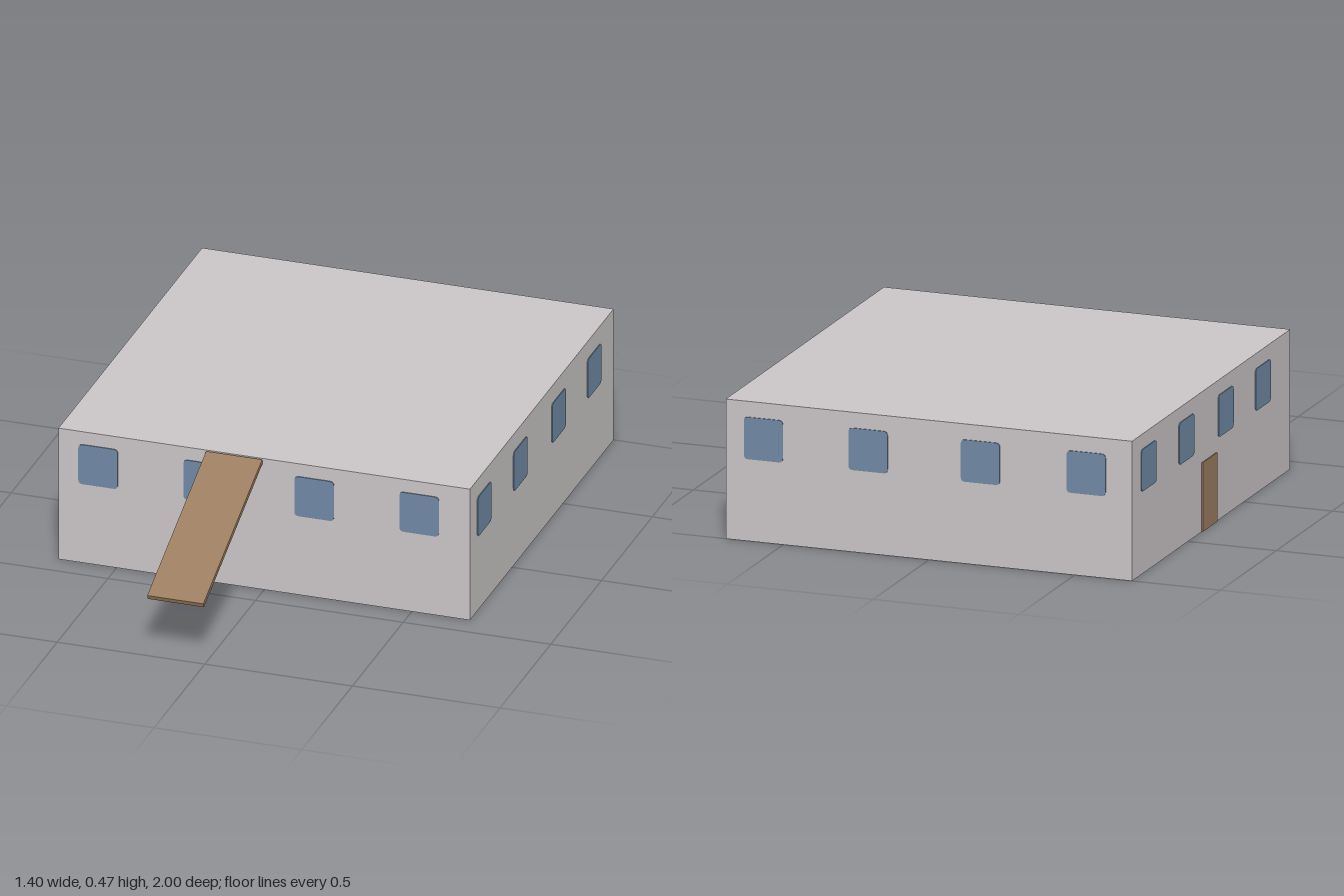
import * as THREE from 'three';

const wall = new THREE.MeshStandardMaterial({ name: 'wall grey', color: 0xcac5c6 });
const glass = new THREE.MeshStandardMaterial({ name: 'window blue', color: 0x7089a5 });
const wood = new THREE.MeshStandardMaterial({ name: 'wood brown', color: 0x9b7d60 });

const HALF_X = 0.697, HEIGHT = 0.465, BACK = -1, FRONT = 0.415;

function add(parent, name, geometry, material, x, y, z) {
  const mesh = new THREE.Mesh(geometry, material);
  mesh.name = name;
  mesh.position.set(x, y, z);
  parent.add(mesh);
  return mesh;
}

// Thin window pane with softly rounded corners, facing +z
function paneGeometry(w, h, r) {
  const a = w / 2, b = h / 2;
  const s = new THREE.Shape();
  s.moveTo(-a + r, -b);
  s.lineTo(a - r, -b).quadraticCurveTo(a, -b, a, -b + r);
  s.lineTo(a, b - r).quadraticCurveTo(a, b, a - r, b);
  s.lineTo(-a + r, b).quadraticCurveTo(-a, b, -a, b - r);
  s.lineTo(-a, -b + r).quadraticCurveTo(-a, -b, -a + r, -b);
  return new THREE.ExtrudeGeometry(s, { depth: 0.003, bevelEnabled: false, curveSegments: 4 });
}

export function createModel() {
  const model = new THREE.Group();
  model.name = 'building';

  // Main block
  const depth = FRONT - BACK;
  add(model, 'walls', new THREE.BoxGeometry(HALF_X * 2, HEIGHT, depth), wall,
    0, HEIGHT / 2, (FRONT + BACK) / 2);

  // Four windows on each side: centres along the wall, height, and facing angle
  const pane = paneGeometry(0.134, 0.14, 0.015);
  const sides = [
    { name: 'frontWindow', at: [-0.562, -0.206, 0.17, 0.526], y: 0.35, turn: 0, place: (t) => [t, FRONT] },
    { name: 'backWindow', at: [-0.54, -0.177, 0.208, 0.567], y: 0.343, turn: Math.PI, place: (t) => [t, BACK] },
    { name: 'leftWindow', at: [0.278, -0.078, -0.455, -0.806], y: 0.333, turn: Math.PI / 2, place: (t) => [HALF_X, t] },
    { name: 'rightWindow', at: [0.167, -0.165, -0.517, -0.855], y: 0.345, turn: -Math.PI / 2, place: (t) => [-HALF_X, t] },
  ];
  for (const side of sides) {
    side.at.forEach((t, i) => {
      const [x, z] = side.place(t);
      add(model, side.name + (i + 1), pane, glass, x, side.y, z).rotation.y = side.turn;
    });
  }

  // Door on the right-hand wall
  add(model, 'door', new THREE.BoxGeometry(0.008, 0.23, 0.13), wood, -HALF_X, 0.115, -0.312);

  // Plank sloping down from the front roof edge
  const run = 0.58, drop = 0.25;
  const plank = add(model, 'ramp', new THREE.BoxGeometry(0.19, 0.016, Math.hypot(run, drop)), wood,
    -0.1, 0.331, 0.707);
  plank.rotation.x = Math.atan2(drop, run);

  return model;
}
